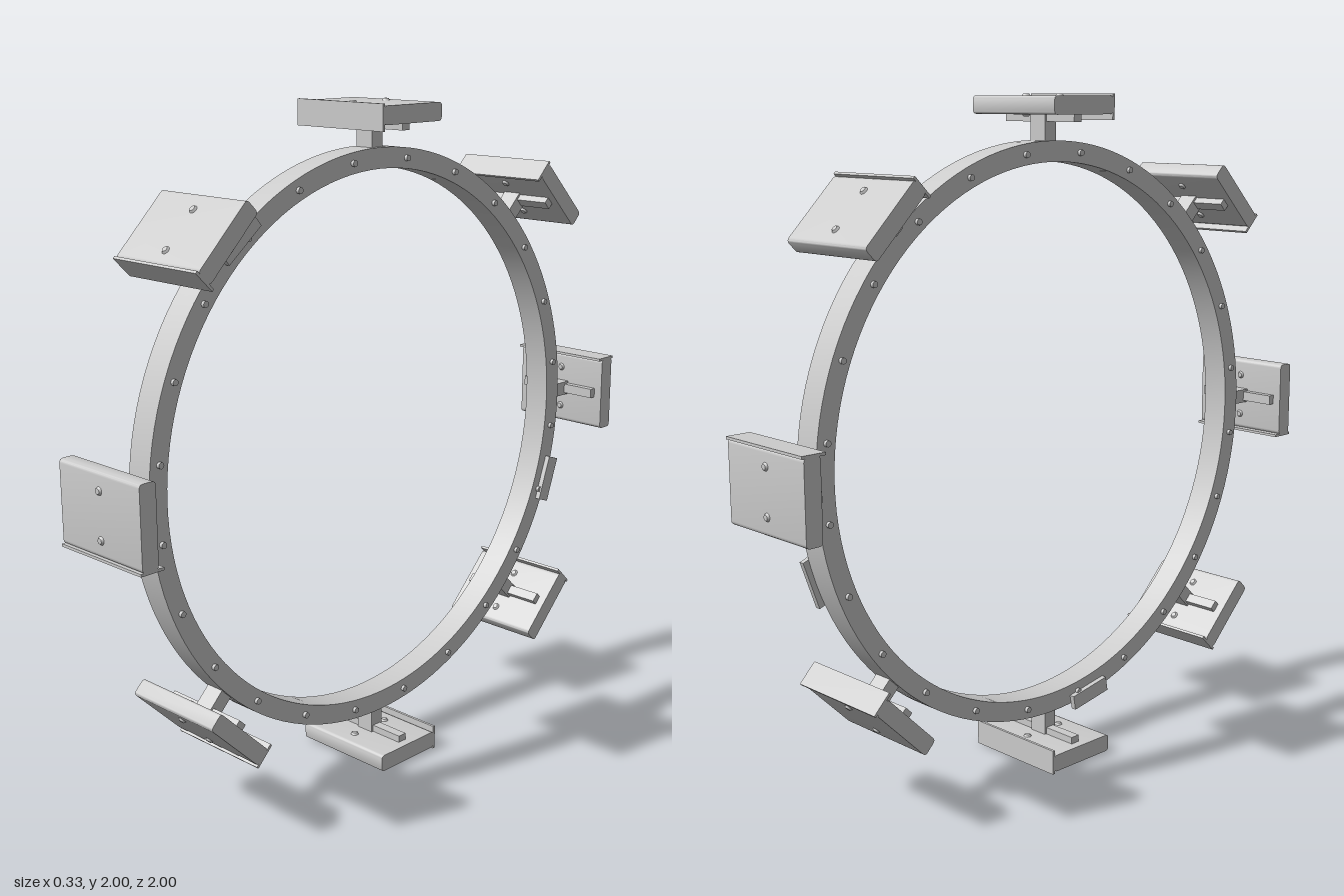
import * as THREE from 'three';
import { toCreasedNormals } from 'three/addons/utils/BufferGeometryUtils.js';

const steel = new THREE.MeshStandardMaterial({ color: 0xcccccc });
steel.name = 'light grey steel';

function add(parent, name, geometry, x = 0, y = 0, z = 0) {
  const mesh = new THREE.Mesh(geometry, steel);
  mesh.name = name;
  mesh.position.set(x, y, z);
  parent.add(mesh);
  return mesh;
}

// Rectangular band turned about the x axis
function ringGeometry(inner, outer, half) {
  const profile = [[inner, -half], [outer, -half], [outer, half], [inner, half], [inner, -half]]
    .map(([r, y]) => new THREE.Vector2(r, y));
  return toCreasedNormals(new THREE.LatheGeometry(profile, 128), 0.6).rotateZ(-Math.PI / 2);
}

// Slab with a rounded end profile (z, y), extruded along x
function padGeometry(depth, height, width, r) {
  const a = depth / 2, b = height / 2;
  const s = new THREE.Shape();
  s.moveTo(-a + r, -b);
  s.lineTo(a - r, -b);
  s.quadraticCurveTo(a, -b, a, -b + r);
  s.lineTo(a, b - r);
  s.quadraticCurveTo(a, b, a - r, b);
  s.lineTo(-a + r, b);
  s.quadraticCurveTo(-a, b, -a, b - r);
  s.lineTo(-a, -b + r);
  s.quadraticCurveTo(-a, -b, -a + r, -b);
  const g = new THREE.ExtrudeGeometry(s, { depth: width, bevelEnabled: false, curveSegments: 4 });
  g.translate(0, 0, -width / 2).rotateY(Math.PI / 2);
  return toCreasedNormals(g, 0.6);
}

// Group at the ring centre; its local y points outwards at the given angle
function spoke(parent, name, angle) {
  const g = new THREE.Group();
  g.name = name;
  g.rotation.x = angle;
  parent.add(g);
  return g;
}

export function createModel() {
  const model = new THREE.Group();
  model.name = 'ringWithPads';
  const wheel = new THREE.Group();
  wheel.name = 'wheel';
  wheel.position.y = 1;
  model.add(wheel);

  add(wheel, 'ring', ringGeometry(0.808, 0.868, 0.042));

  // Rivets through both side faces of the ring
  const rivet = new THREE.CylinderGeometry(0.009, 0.009, 0.104, 12).rotateZ(Math.PI / 2);
  for (let i = 0; i < 24; i++) {
    const a = (i + 0.5) * Math.PI / 12;
    add(wheel, 'ringRivet', rivet, 0, 0.838 * Math.cos(a), 0.838 * Math.sin(a));
  }

  // Eight outward pads on stems
  const pad = padGeometry(0.235, 0.052, 0.334, 0.012);
  const lip = new THREE.BoxGeometry(0.334, 0.075, 0.008);
  const stem = new THREE.BoxGeometry(0.06, 0.095, 0.044);
  const rail = new THREE.BoxGeometry(0.28, 0.022, 0.03);
  const bolt = new THREE.CylinderGeometry(0.008, 0.012, 0.006, 16);
  for (let i = 0; i < 8; i++) {
    const g = spoke(wheel, 'padUnit', i * Math.PI / 4);
    add(g, 'stem', stem, 0, 0.903, 0);
    add(g, 'rail', rail, 0, 0.932, 0);
    add(g, 'pad', pad, 0, 0.968, -0.002);
    add(g, 'lip', lip, 0, 0.9625, 0.118);
    for (const z of [-0.067, 0.067]) {
      add(g, 'padBolt', bolt, 0, 0.997, z);
      add(g, 'padBoltEnd', bolt, 0, 0.939, z).rotation.x = Math.PI;
    }
  }

  // Small splice plates on the ring's side faces: angle in degrees, side
  const plate = new THREE.BoxGeometry(0.016, 0.046, 0.148);
  for (const [deg, side] of [[39.2, 1], [250.3, 1], [169.7, -1]]) {
    const g = spoke(wheel, 'splicePlateMount', THREE.MathUtils.degToRad(deg));
    add(g, 'splicePlate', plate, side * 0.05, 0.861, 0);
  }
  return model;
}
